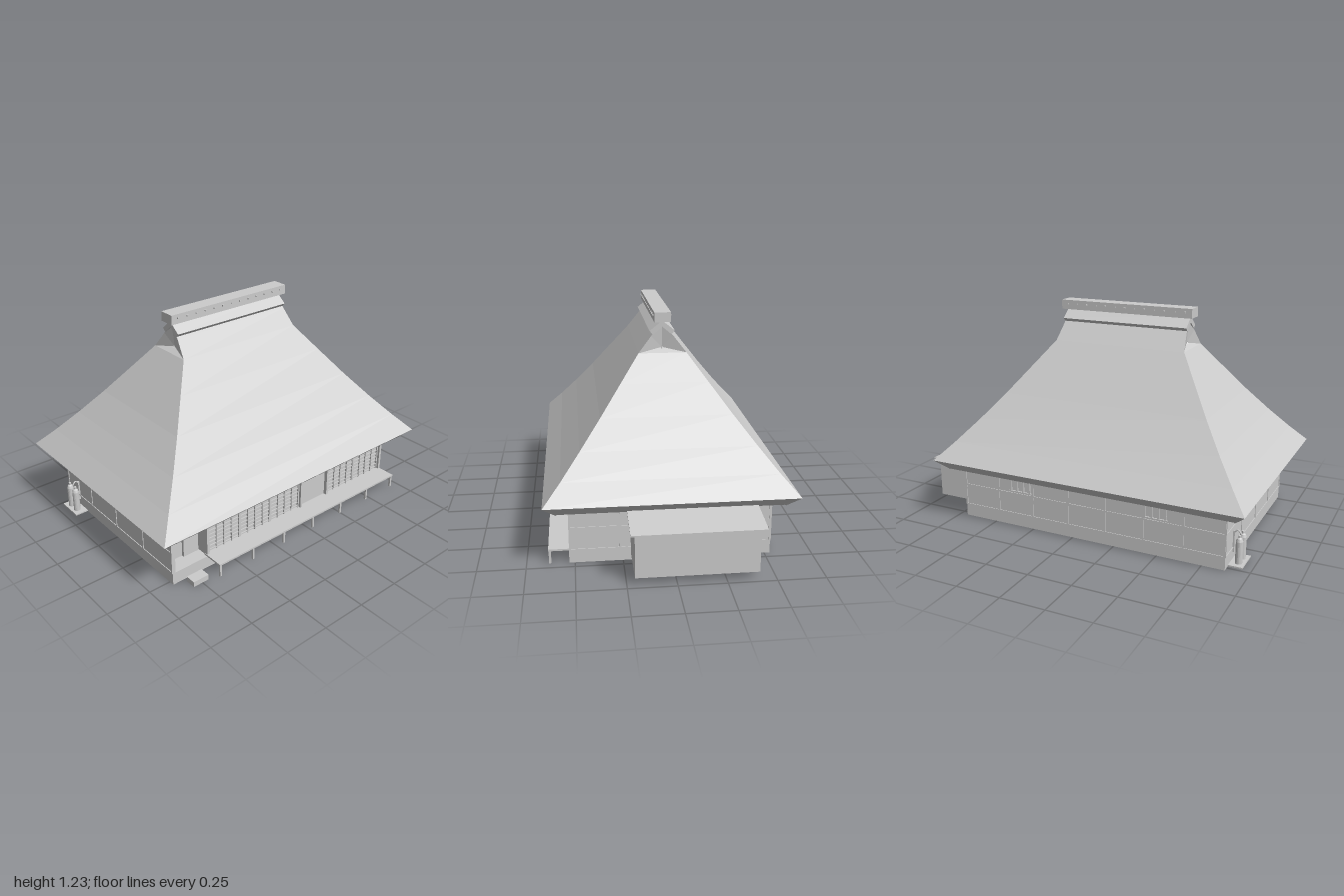
import * as THREE from 'three';
import { ConvexGeometry } from 'three/addons/geometries/ConvexGeometry.js';

const plaster = new THREE.MeshStandardMaterial({ color: 0xcccccc, side: THREE.DoubleSide, flatShading: true });
plaster.name = 'light grey';

const CX = -0.085; // centre of the main roof along x

function add(group, name, geometry) {
  const mesh = new THREE.Mesh(geometry, plaster);
  mesh.name = name;
  group.add(mesh);
  return mesh;
}

// Box given by its lower and upper limits on each axis
function box(group, name, x0, x1, y0, y1, z0, z1) {
  const mesh = add(group, name, new THREE.BoxGeometry(x1 - x0, y1 - y0, z1 - z0));
  mesh.position.set((x0 + x1) / 2, (y0 + y1) / 2, (z0 + z1) / 2);
  return mesh;
}

function fromTriangles(points) {
  const g = new THREE.BufferGeometry().setFromPoints(points.map((p) => new THREE.Vector3(...p)));
  g.computeVertexNormals();
  return g;
}

function section(name, parent) {
  const g = new THREE.Group();
  g.name = name;
  parent.add(g);
  return g;
}

// Hipped thatch lofted through rectangles, with a small gable at each end
function buildRoof(parent) {
  const roof = section('thatchedRoof', parent);
  const rows = [ // y, half length, half depth
    [0.33, 0.79, 0.53], [0.30, 0.85, 0.592], [0.36, 0.915, 0.655], [0.46, 0.822, 0.563],
    [0.58, 0.718, 0.462], [0.72, 0.606, 0.35], [0.87, 0.495, 0.236], [1.01, 0.392, 0.13],
  ];
  const ring = ([y, hx, hz]) => [[1, 1], [1, -1], [-1, -1], [-1, 1]].map(([a, b]) => [CX + a * hx, y, b * hz]);
  const tris = [];
  for (let r = 0; r < rows.length - 1; r++) {
    const lo = ring(rows[r]), up = ring(rows[r + 1]);
    for (let i = 0; i < 4; i++) {
      const j = (i + 1) % 4;
      tris.push(lo[i], lo[j], up[j], lo[i], up[j], up[i]);
    }
  }
  add(roof, 'thatch', fromTriangles(tris));

  // Upper slopes and recessed gables
  const top = [];
  const quad = (a, b, c, d) => top.push(a, b, c, a, c, d);
  for (const s of [1, -1]) {
    const p = (sx, hx, y, z) => [CX + sx * hx, y, z * s];
    quad(p(-s, 0.392, 1.01, 0.13), p(s, 0.392, 1.01, 0.13), p(s, 0.377, 1.1, 0.06), p(-s, 0.377, 1.1, 0.06));
    quad(p(-s, 0.377, 1.1, 0.06), p(s, 0.377, 1.1, 0.06), p(s, 0.377, 1.175, 0), p(-s, 0.377, 1.175, 0));
    const e = (hx, y, z) => [CX + s * hx, y, z * s];
    const mid = e(0.355, 1.035, 0), apex = e(0.37, 1.175, 0);
    top.push(e(0.392, 1.01, 0.13), e(0.392, 1.01, -0.13), mid);
    top.push(mid, e(0.392, 1.01, -0.13), e(0.377, 1.1, -0.06), mid, e(0.377, 1.1, -0.06), apex);
    top.push(mid, e(0.377, 1.1, 0.06), e(0.392, 1.01, 0.13), mid, apex, e(0.377, 1.1, 0.06));
  }
  add(roof, 'gableTop', fromTriangles(top));

  // Small smoke vents in the gables
  for (const s of [1, -1]) {
    const vent = add(roof, 'gableVent', new THREE.ConeGeometry(0.009, 0.014, 4));
    vent.position.set(CX + s * 0.36, 1.036, 0);
  }

  // Hip rafter ends under the four corners
  for (const sx of [1, -1]) for (const sz of [1, -1]) {
    const p = (dx, y, dz) => new THREE.Vector3(CX + sx * (0.915 - dx), y, sz * (0.655 - dz));
    add(roof, 'hipRafterEnd', new ConvexGeometry([
      p(0, 0.36, 0), p(0.065, 0.296, 0.065), p(0.1, 0.326, 0.04), p(0.04, 0.326, 0.1), p(0.1, 0.34, 0.1),
    ]));
  }

  // Ridge saddle: folded boards along the top
  const outline = [[0, 1.183], [0.068, 1.128], [0.05, 1.108], [0, 1.15], [-0.05, 1.108], [-0.068, 1.128]];
  const saddle = new THREE.ExtrudeGeometry(
    new THREE.Shape(outline.map(([z, y]) => new THREE.Vector2(z, y))), { depth: 0.756, bevelEnabled: false });
  saddle.rotateY(Math.PI / 2).translate(CX - 0.378, 0, 0);
  add(roof, 'ridgeSaddle', saddle);

  // Ridge box with rows of pegs
  box(roof, 'ridgeBox', CX - 0.4, CX + 0.4, 1.178, 1.231, -0.045, 0.045);
  for (let i = 0; i < 13; i++) {
    const x = CX - 0.36 + i * 0.06;
    box(roof, 'ridgePeg', x - 0.004, x + 0.004, 1.206, 1.214, -0.052, 0.052);
  }
}

// Walls with posts, rails and windows
function buildHouse(parent) {
  const house = section('house', parent);
  const L = -0.875, R = 0.705, D = 0.53, T = 0.335;
  box(house, 'mainWalls', L, R, 0, T, -D, 0.44);
  box(house, 'frontBase', L, R, 0, 0.07, 0.44, D);
  box(house, 'frontWall', -0.65, R, 0.07, T, 0.44, 0.51);
  box(house, 'rightEndWall', R - 0.012, R, 0.07, T, 0.51, D);
  box(house, 'leftEndWall', L, L + 0.018, 0.07, T, 0.44, D);
  box(house, 'frontLintel', L, R, 0.285, T, 0.44, D);

  // Back timber frame
  const t = 0.004;
  for (const y of [0.073, 0.195]) box(house, 'backRail', L, R, y - 0.004, y + 0.004, -D - t, -D);
  for (let i = 0; i < 8; i++) {
    const x = R - 0.005 - i * 0.2245;
    box(house, 'backPost', x - 0.005, x + 0.005, 0.073, T, -D - t, -D);
  }
  for (const x of [0.33, -0.49]) {
    box(house, 'windowSill', x - 0.07, x + 0.07, 0.205, 0.213, -D - 0.008, -D);
    for (let i = 0; i < 4; i++) {
      const bx = x - 0.06 + i * 0.04;
      box(house, 'windowBar', bx - 0.005, bx + 0.005, 0.213, 0.3, -D - 0.007, -D);
    }
  }
  // Side timber frames
  for (const [x0, x1] of [[L - t, L], [R, R + t]]) {
    for (const y of [0.073, 0.195]) box(house, 'sideRail', x0, x1, y - 0.004, y + 0.004, -D, D);
    for (let i = 0; i < 5; i++) {
      const z = -D + 0.005 + i * 0.2625;
      box(house, 'sidePost', x0, x1, 0.073, T, z - 0.005, z + 0.005);
    }
  }

  // Entrance door panel and posts
  box(house, 'entranceDoor', -0.75, -0.655, 0.07, 0.28, 0.44, 0.455);
  for (const x of [-0.645, 0.03, 0.24]) box(house, 'frontPost', x - 0.007, x + 0.007, 0.07, T, 0.51, D);

  // Sliding lattice screens
  for (const [x0, x1] of [[-0.635, -0.42], [-0.42, -0.2], [-0.2, 0.02], [0.25, 0.47], [0.47, 0.69]]) {
    for (let i = 0; i <= 4; i++) {
      const x = x0 + 0.004 + (i * (x1 - x0 - 0.008)) / 4, w = i % 2 ? 0.002 : 0.004;
      box(house, 'screenStile', x - w, x + w, 0.08, 0.285, 0.51, 0.519);
    }
    for (let i = 0; i < 9; i++) {
      const y = 0.09 + i * 0.0235;
      box(house, 'screenSlat', x0, x1, y - 0.003, y + 0.003, 0.51, 0.516);
    }
  }
}

// Raised veranda on legs, with a step by the entrance
function buildVeranda(parent) {
  const veranda = section('veranda', parent);
  box(veranda, 'deck', -0.655, 0.705, 0.07, 0.08, 0.51, 0.637);
  for (let i = 0; i < 7; i++) {
    const x = -0.645 + i * 0.2235;
    box(veranda, 'deckLeg', x - 0.006, x + 0.006, 0, 0.07, 0.623, 0.635);
  }
  box(veranda, 'stepStone', -0.805, -0.71, 0, 0.03, 0.553, 0.612);
}

// Side annex with a lean-to roof
function buildAnnex(parent) {
  const annex = section('annex', parent);
  box(annex, 'annexWalls', 0.7, 0.975, 0.04, 0.276, -0.415, 0.21);
  const profile = [[0.7, 0.311], [1, 0.274], [1, 0.281], [0.7, 0.32]];
  const slab = new THREE.ExtrudeGeometry(
    new THREE.Shape(profile.map(([x, y]) => new THREE.Vector2(x, y))), { depth: 0.675, bevelEnabled: false });
  add(annex, 'annexRoof', slab.translate(0, 0, -0.443));
}

// Pair of gas bottles on a slab beside the left wall
function buildBottles(parent) {
  const bottles = section('gasBottles', parent);
  box(bottles, 'bottleSlab', -0.952, -0.875, 0, 0.008, -0.48, -0.33);
  const profile = [[0, 0.008], [0.019, 0.008], [0.019, 0.13], [0.014, 0.145], [0.007, 0.15], [0.007, 0.163], [0, 0.163]];
  for (const z of [-0.435, -0.375]) {
    const bottle = add(bottles, 'gasBottle', new THREE.LatheGeometry(profile.map((p) => new THREE.Vector2(...p)), 16));
    bottle.position.set(-0.918, 0, z);
  }
  const hose = new THREE.CatmullRomCurve3([
    new THREE.Vector3(-0.918, 0.155, -0.405), new THREE.Vector3(-0.9, 0.175, -0.405), new THREE.Vector3(-0.878, 0.16, -0.405)]);
  add(bottles, 'gasHose', new THREE.TubeGeometry(hose, 8, 0.004, 6));
  box(bottles, 'gasPipe', -0.884, -0.875, 0.05, 0.17, -0.41, -0.4);
}

export function createModel() {
  const model = new THREE.Group();
  model.name = 'thatchedFarmhouse';
  buildRoof(model);
  buildHouse(model);
  buildVeranda(model);
  buildAnnex(model);
  buildBottles(model);
  return model;
}
